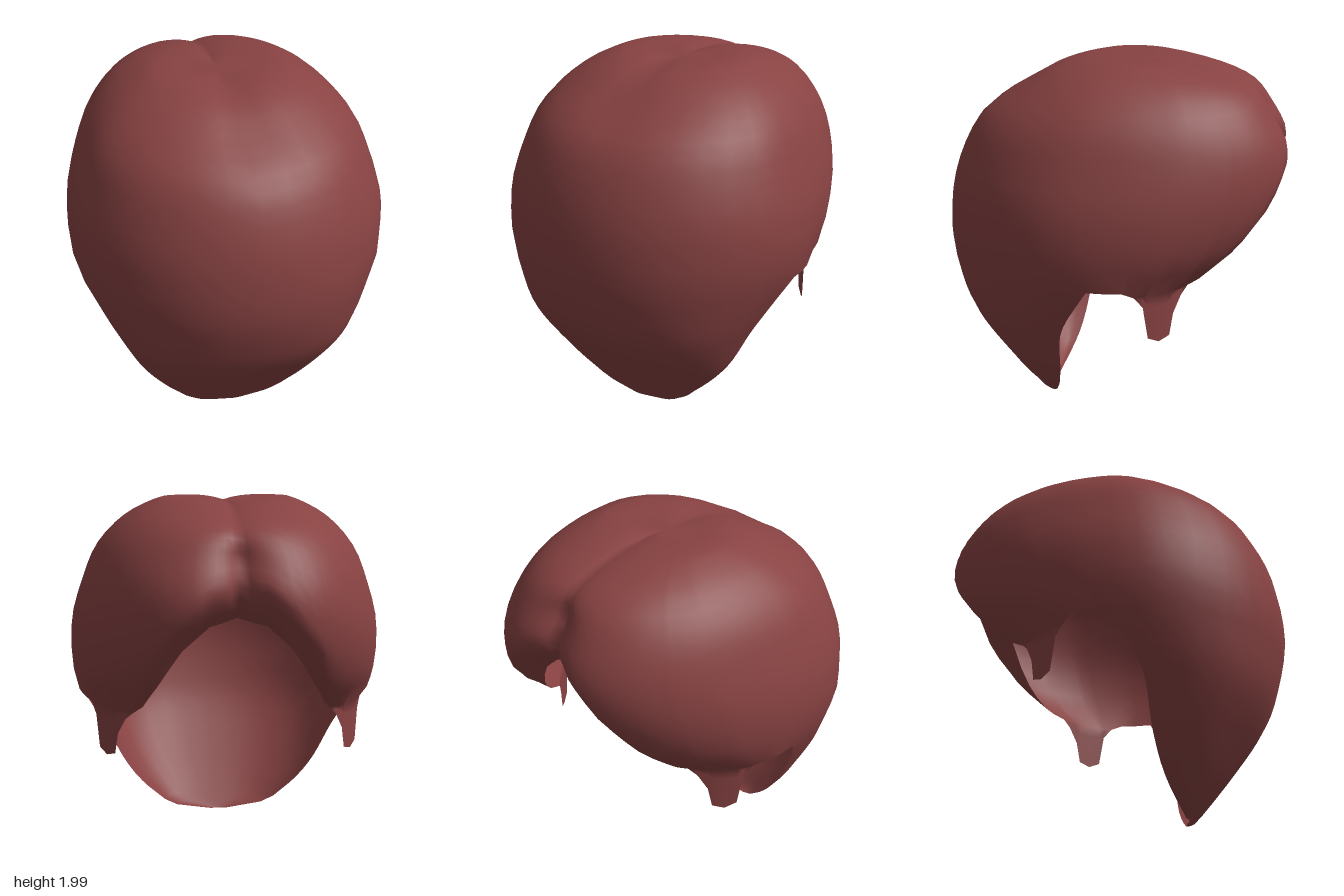
import * as THREE from 'three';
import { mergeVertices } from 'three/addons/utils/BufferGeometryUtils.js';

// Horizontal slices of the shell: height, half width, front z, back z, z of the widest point
const slices = [
  [2.0, 0, -0.08, -0.08, -0.08],
  [1.995, 0.27, 0.1, -0.28, -0.08],
  [1.955, 0.43, 0.31, -0.53, -0.05],
  [1.86, 0.59, 0.5, -0.79, 0],
  [1.7, 0.73, 0.735, -0.94, 0.05],
  [1.52, 0.805, 0.85, -1.02, 0.08],
  [1.3, 0.87, 0.925, -0.99, 0.1],
  [1.1, 0.88, 0.95, -0.89, 0.1],
  [1.0, 0.87, 0.95, -0.8, 0.09],
  [0.9, 0.845, 0.935, -0.68, 0.06],
  [0.85, 0.82, 0.922, -0.6, 0.09],
  [0.6, 0.695, 0.83, -0.5, 0.22],
  [0.3, 0.535, 0.62, -0.5, 0.255],
  [0.14, 0.39, 0.495, -0.5, 0.29],
  [0.04, 0.25, 0.41, -0.5, 0.335],
  [0.01, 0.13, 0.385, -0.5, 0.355],
  [0, 0.04, 0.375, -0.5, 0.365],
];
const depth = (y) => Math.sqrt(Math.max(0, 2 - y));
const sliceAt = new THREE.CubicInterpolant(
  slices.map((s) => depth(s[0])), slices.flatMap((s) => s.slice(1)), 4, new Array(4));

// Lower rim: degrees from the front, height (the dip near 124 is the pointed side lock)
const lockTop = 0.85;
const rimKeys = [
  [0, 0.9], [90, 0.9], [104, 0.89], [112, lockTop], [116, 0.79], [118.5, 0.61], [124, 0.58],
  [129.5, 0.6], [131.5, 0.72], [136, 0.81], [140, lockTop], [146, 0.91], [153, 1.04],
  [162, 1.24], [171, 1.37], [180, 1.4],
];
function rimHeight(deg) {
  const k = Math.max(1, rimKeys.findIndex((r) => r[0] >= deg));
  const [a, b] = [rimKeys[k - 1], rimKeys[k]];
  return THREE.MathUtils.mapLinear(deg, a[0], b[0], a[1], b[1]);
}

// Point on the shell at a signed angle from the front and a height
function shellPoint(angle, y, rim) {
  const { smoothstep, degToRad } = THREE.MathUtils;
  const deg = Math.abs(angle);
  const back = deg > 90.01;
  const [w, front, rear, mid] = sliceAt.evaluate(depth(back ? Math.max(y, lockTop) : y));
  // Slices are ellipses, squarer towards the bottom of the front
  const power = back ? 0.95 : 0.85 + 0.15 * smoothstep(y, 0.5, 1.2);
  const s = Math.pow(Math.max(0, Math.sin(degToRad(deg))), power);
  const c = Math.pow(Math.abs(Math.cos(degToRad(deg))), power);
  const x = Math.sign(angle) * w * s;
  let z = back ? mid - (mid - rear) * c : mid + (front - mid) * c;
  if (back) {
    // Groove between the two rear lobes, and the edge tucked under them
    z += 0.16 * Math.exp(-Math.abs(x) / 0.14) * c * (1 - smoothstep(y, 1.7, 1.95));
    const t = Math.min(1, (y - rim) / 0.25);
    z += 0.2 * smoothstep(deg, 141, 166) * (1 - t) ** 2;
  }
  const crease = Math.exp(-Math.abs(x) / 0.11) * smoothstep(y, 1.6, 1.9);
  return [x, y - 0.04 * crease, z];
}

// Grid of rows from a top height down to a bottom that may vary with the angle
function addGrid(positions, index, angles, rows, top, bottom, spacing = 1) {
  const base = positions.length / 3;
  const n = angles.length;
  for (let i = 0; i <= rows; i++) {
    for (const a of angles) {
      const low = bottom(Math.abs(a));
      const d = THREE.MathUtils.lerp(depth(top), depth(low), (i / rows) ** spacing);
      positions.push(...shellPoint(a, 2 - d * d, low));
    }
  }
  for (let i = 0; i < rows; i++) {
    for (let j = 0; j < n - 1; j++) {
      const p = base + i * n + j;
      index.push(p, p + n, p + n + 1, p, p + n + 1, p + 1);
    }
  }
}

export function createModel() {
  const model = new THREE.Group();
  const maroon = new THREE.MeshStandardMaterial({ color: 0x884242, side: THREE.DoubleSide });
  maroon.name = 'maroon';

  const frontHalf = [12, 24, 36, 48, 60, 72, 81, 90];
  const lock = [112, 116, 118.5, 124, 129.5, 131.5, 136, 140];
  const backHalf = [97, 104, ...lock, 143, 146, 149.5, 153, 157.5, 162, 166.5, 171, 174, 177, 180];
  const negate = (list) => list.map((a) => -a).reverse();
  const mirror = (list) => [...negate(list), 0, ...list];

  const positions = [];
  const index = [];
  // Domed upper shell, all the way round
  addGrid(positions, index, mirror([...frontHalf, ...backHalf]), 18, 2,
    (deg) => Math.max(lockTop, rimHeight(deg)));
  // Tapering front, below the side openings
  addGrid(positions, index, mirror(frontHalf), 16, 0.9, () => 0, 0.7);
  // Pointed lock hanging from the rim on each side
  for (const angles of [lock, negate(lock)]) {
    addGrid(positions, index, angles, 4, lockTop, rimHeight);
  }

  let geometry = new THREE.BufferGeometry();
  geometry.setAttribute('position', new THREE.Float32BufferAttribute(positions, 3));
  geometry.setIndex(index);
  geometry = mergeVertices(geometry, 1e-4);
  geometry.computeVertexNormals();

  const shell = new THREE.Mesh(geometry, maroon);
  shell.name = 'hollowShell';
  model.add(shell);
  return model;
}
